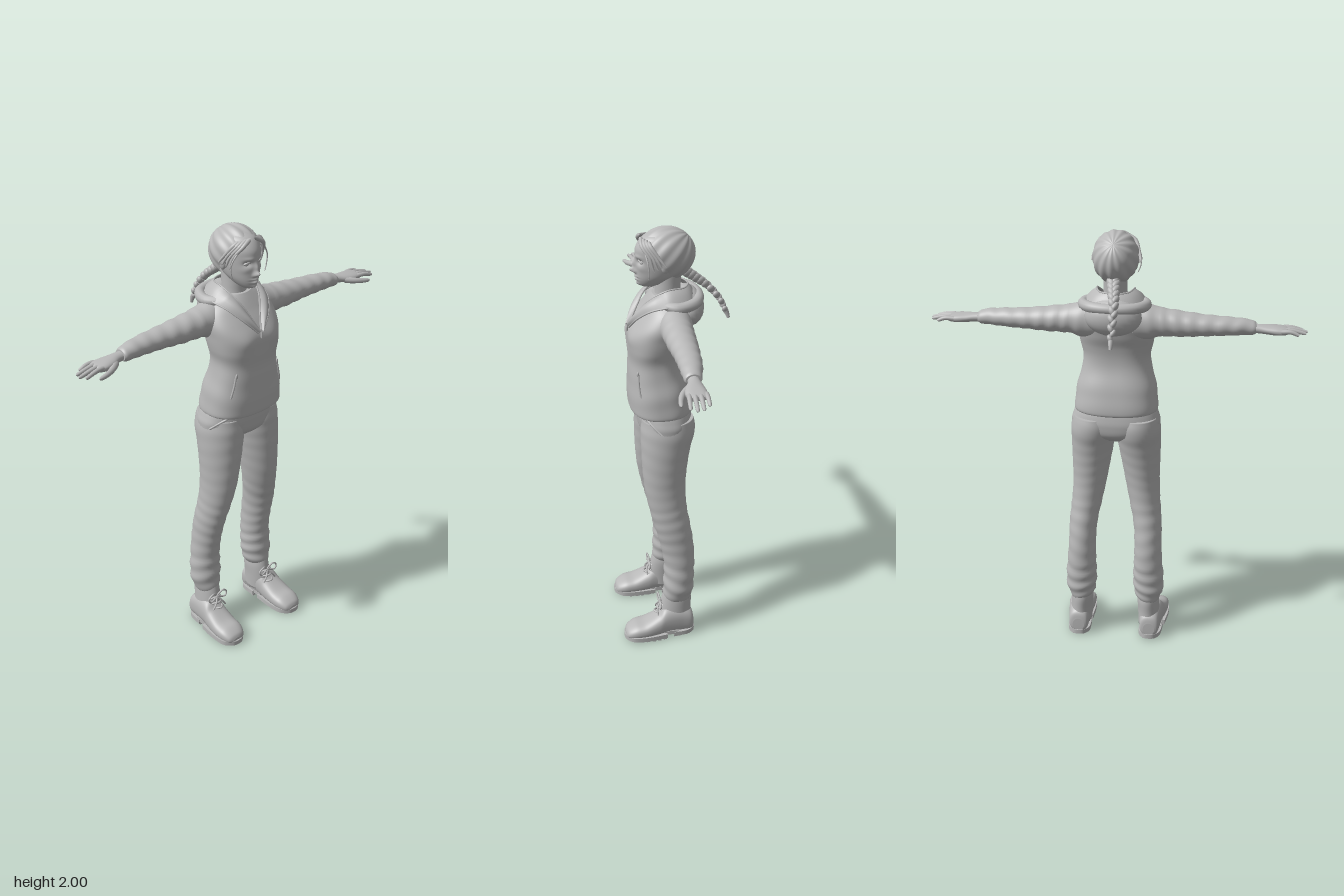
import * as THREE from 'three';

const grey = new THREE.MeshStandardMaterial({ color: 0xb8b8b8, side: THREE.DoubleSide });
grey.name = 'plain grey';

const V = (x, y, z) => new THREE.Vector3(x, y, z);

// Grid of points -> smooth indexed geometry; closed rings get end caps.
function skin(rings, closed, flip) {
  const n = rings[0].length, m = rings.length, pos = [], idx = [];
  const tri = (a, b, c) => (flip ? idx.push(a, c, b) : idx.push(a, b, c));
  rings.forEach(r => r.forEach(p => pos.push(p.x, p.y, p.z)));
  for (let j = 0; j < m - 1; j++) {
    for (let i = 0; i < (closed ? n : n - 1); i++) {
      const k = (i + 1) % n, a = j * n + i, b = j * n + k;
      tri(a, b, a + n); tri(b, b + n, a + n);
    }
  }
  if (closed) [0, m - 1].forEach(j => {
    const c = rings[j].reduce((s, p) => s.add(p), V(0, 0, 0)).divideScalar(n), id = pos.length / 3;
    pos.push(c.x, c.y, c.z);
    for (let i = 0; i < n; i++) {
      const a = j * n + i, b = j * n + (i + 1) % n;
      if (j) tri(a, b, id); else tri(b, a, id);
    }
  });
  const g = new THREE.BufferGeometry();
  g.setAttribute('position', new THREE.Float32BufferAttribute(pos, 3));
  g.setIndex(idx);
  g.computeVertexNormals();
  return g;
}

// Rows [t, aMin, aMax, bMin, bMax, power] blended smoothly along one axis.
const place = { x: (t, a, b) => V(t, a, b), y: (t, a, b) => V(a, t, b), z: (t, a, b) => V(a, b, t) };
function loft(axis, rows, { n = 40, sub = 8, fold = () => 0 } = {}) {
  const rings = [], last = rows.length - 1;
  for (let j = 0; j <= last * sub; j++) {
    const k = Math.min(Math.floor(j / sub), last - 1), f = j / sub - k;
    const at = q => rows[Math.max(0, Math.min(last, q))];
    const r = [0, 1, 2, 3, 4, 5].map(c => {
      const [p0, p1, p2, p3] = [-1, 0, 1, 2].map(d => at(k + d)[c] ?? 2);
      return p1 + 0.5 * f * (p2 - p0 + f * (2 * p0 - 5 * p1 + 4 * p2 - p3 + f * (3 * (p1 - p2) + p3 - p0)));
    });
    const ring = [];
    for (let i = 0; i < n; i++) {
      const w = i / n * Math.PI * 2, s = 1 + fold(r[0], w);
      const e = v => Math.sign(v) * Math.abs(v) ** (2 / r[5]) * s / 2;
      ring.push(place[axis](r[0], (r[1] + r[2]) / 2 + (r[2] - r[1]) * e(Math.cos(w)),
        (r[3] + r[4]) / 2 + (r[4] - r[3]) * e(Math.sin(w))));
    }
    rings.push(ring);
  }
  return skin(rings, true, axis === 'y');
}

// Push front-facing vertices along z by soft bumps [x, y, widthX, widthY, depth].
function sculpt(g, zMin, bumps) {
  const p = g.attributes.position;
  for (let i = 0; i < p.count; i++) {
    if (p.getZ(i) < zMin) continue;
    let z = p.getZ(i);
    for (const [x, y, sx, sy, d] of bumps)
      z += d * Math.exp(-(((Math.abs(p.getX(i)) - x) / sx) ** 2) - ((p.getY(i) - y) / sy) ** 2);
    p.setZ(i, z);
  }
  g.computeVertexNormals();
  return g;
}

// Tube through points, tapering from r0 to r1 with rounded ends.
function strand(pts, r0, r1 = r0, seg = 20, sides = 10) {
  const curve = new THREE.CatmullRomCurve3(pts.map(p => V(...p)));
  const g = new THREE.TubeGeometry(curve, seg, 1, sides), p = g.attributes.position, v = V(0, 0, 0);
  for (let j = 0; j <= seg; j++) {
    const u = j / seg, c = curve.getPointAt(u);
    const r = (r0 + (r1 - r0) * u) * Math.sqrt(Math.max(0, 1 - Math.abs(2 * u - 1) ** 12));
    for (let i = 0; i <= sides; i++) {
      const k = j * (sides + 1) + i;
      v.fromBufferAttribute(p, k).sub(c).multiplyScalar(r).add(c);
      p.setXYZ(k, v.x, v.y, v.z);
    }
  }
  return g;
}

const ball = (x, y, z, a, b, c) => new THREE.SphereGeometry(1, 24, 16).scale(a, b, c).translate(x, y, z);
const mirrorPts = half => [...half, ...half.slice(0, -1).reverse().map(([x, y, z]) => [-x, y, z])];

function mirrored(geo) {
  const g = geo.clone().scale(-1, 1, 1);
  const src = g.index ? Array.from(g.index.array) : Array.from({ length: g.attributes.position.count }, (_, i) => i);
  for (let i = 0; i < src.length; i += 3) [src[i + 1], src[i + 2]] = [src[i + 2], src[i + 1]];
  g.setIndex(src);
  return g;
}

export function createModel() {
  const model = new THREE.Group();
  model.name = 'figure';
  const add = (name, g) => { const m = new THREE.Mesh(g, grey); m.name = name; model.add(m); };
  const pair = (name, g) => { add(name + 'Left', g); add(name + 'Right', mirrored(g)); };

  // Jacket body
  add('jacket', sculpt(loft('y', [
    [1.172, -.183, .183, -.078, .188, 2.4], [1.19, -.19, .19, -.085, .197, 2.5], [1.28, -.18, .18, -.07, .198, 2.5],
    [1.40, -.152, .152, -.036, .193, 2.5], [1.48, -.162, .162, -.042, .195, 2.5], [1.54, -.172, .172, -.06, .192, 2.4],
    [1.60, -.175, .175, -.075, .163, 2.3], [1.65, -.16, .16, -.08, .127, 2.2], [1.69, -.115, .115, -.075, .10],
    [1.71, -.08, .08, -.06, .085],
  ], { n: 64, fold: (y, a) => .006 * Math.sin(y * 60 + 2 * Math.sin(a)) }), .05, [[.075, 1.525, .05, .05, .009]]));

  // Sleeves with creases
  pair('sleeve', loft('x', [
    [.08, 1.525, 1.686, -.065, .075], [.15, 1.525, 1.681, -.066, .08], [.2, 1.54, 1.668, -.06, .075],
    [.3, 1.543, 1.654, -.055, .07], [.4, 1.55, 1.643, -.048, .062], [.5, 1.555, 1.636, -.038, .06],
    [.56, 1.558, 1.63, -.026, .06], [.60, 1.56, 1.622, -.017, .058], [.615, 1.566, 1.612, -.01, .052],
  ], { fold: (x, a) => (x > .2 ? .03 : .008) * Math.sin(x * 95 + 1.6 * Math.sin(a + x * 8)) }));

  // Hands
  pair('palm', loft('x', [
    [.58, 1.568, 1.608, -.002, .045], [.63, 1.566, 1.606, -.004, .048], [.67, 1.562, 1.604, -.01, .066],
    [.71, 1.561, 1.6, -.014, .074, 2.4], [.745, 1.566, 1.594, -.012, .07, 2.6], [.755, 1.572, 1.588, -.005, .064],
  ]));
  const tips = [[.822, .072], [.84, .048], [.834, .022], [.802, -.006]];
  tips.forEach(([x, z], i) => {
    const z0 = .06 - i * .022;
    pair('finger' + (i + 1), strand([[.72, 1.583, z0], [.765, 1.584, (z0 + z) / 2], [x, 1.57, z]], .0115, .0075));
  });
  pair('thumb', strand([[.655, 1.58, .045], [.70, 1.574, .08], [.74, 1.568, .095], [.778, 1.563, .1]], .017, .008));

  // Trousers
  add('trouserSeat', loft('y', [
    [1.035, -.1, .1, -.03, .11], [1.07, -.19, .19, -.074, .15], [1.12, -.203, .203, -.084, .16, 2.3],
    [1.16, -.193, .193, -.08, .162, 2.4], [1.20, -.178, .178, -.07, .16, 2.4],
  ], { n: 56 }));
  pair('trouserLeg', loft('y', [
    [.2, .112, .213, -.06, .062], [.24, .097, .23, -.073, .068], [.3, .09, .235, -.077, .066], [.4, .092, .228, -.08, .064],
    [.5, .093, .222, -.076, .08], [.6, .086, .219, -.062, .104], [.7, .066, .21, -.046, .128], [.8, .046, .204, -.042, .146],
    [.9, .028, .205, -.05, .154], [1.0, .01, .207, -.066, .157], [1.09, -.004, .206, -.088, .157], [1.15, .002, .194, -.08, .15],
  ], { fold: (y, a) => (y < .4 ? .04 : y < .72 ? .016 : .005) * Math.sin(y * 95 + 1.8 * Math.sin(a + y * 9)) }));
  pair('trouserPocket', strand([[.135, 1.17, .139], [.17, 1.145, .112], [.2, 1.11, .075]], .005));

  // Boots
  pair('bootShaft', loft('y', [
    [.06, .115, .222, -.068, .09], [.13, .113, .217, -.064, .088], [.19, .11, .213, -.066, .078], [.23, .115, .208, -.06, .068],
  ]));
  pair('bootFoot', loft('z', [
    [-.074, .145, .2, .025, .09], [-.062, .128, .218, .015, .125, 2.5], [-.01, .122, .226, .012, .15, 2.5],
    [.06, .12, .236, .012, .155, 2.4], [.1, .119, .243, .012, .122, 2.5], [.16, .119, .248, .012, .09, 2.6],
    [.21, .122, .246, .012, .079, 2.5], [.245, .138, .232, .012, .06, 2.3], [.257, .16, .21, .018, .042],
  ]));
  const sole = pts => {
    const s = new THREE.Shape();
    s.moveTo(...pts[0]); s.splineThru(pts.slice(1).map(p => new THREE.Vector2(...p))); s.closePath();
    return new THREE.ExtrudeGeometry(s, { depth: .022, bevelEnabled: false, curveSegments: 24 })
      .rotateX(Math.PI / 2).translate(0, .03, 0);
  };
  pair('frontSole', sole([[.12, .06], [.116, .15], [.124, .22], [.155, .256], [.185, .263], [.215, .256], [.246, .22], [.251, .15], [.24, .06]]));
  pair('heelSole', sole([[.12, .025], [.122, -.04], [.145, -.072], [.172, -.079], [.2, -.072], [.224, -.04], [.232, .025]]));
  [-.055, -.03, -.005, .018, .072, .1, .128, .156, .184, .212, .238].forEach((z, i) => {
    const w = [.06, .085, .095, .1, .108, .118, .122, .122, .118, .1, .06][i];
    pair('soleTread' + i, new THREE.BoxGeometry(w, .012, .016).translate(z < .05 ? .174 : .184, .006, z));
  });
  pair('arch', new THREE.BoxGeometry(.1, .02, .07).translate(.178, .028, .04));
  // Laces tied in a bow
  [.12, .145, .17].forEach((y, i) => pair('lace' + i,
    strand([[.135, y, .085 - i * .006], [.165, y + .008, .114 - i * .014], [.198, y, .085 - i * .006]], .0045)));
  [-1, 1].forEach(s => {
    pair('bowLoop' + s, strand([[.165, .18, .08], [.165 + s * .03, .205, .09], [.165 + s * .055, .185, .088],
      [.165 + s * .045, .165, .09], [.165, .178, .085]], .004));
    pair('bowEnd' + s, strand([[.165, .18, .085], [.165 + s * .02, .15, .1], [.165 + s * .04, .12, .1]], .004));
  });

  // Collar folded open into a V
  const rim = pts => new THREE.CatmullRomCurve3(mirrorPts(pts).map(p => V(...p)));
  const inner = rim([[.004, 1.57, .185], [.032, 1.64, .147], [.062, 1.70, .105], [.083, 1.745, .03], [.06, 1.745, -.045], [0, 1.745, -.07]]);
  const outer = rim([[.012, 1.56, .19], [.075, 1.625, .157], [.118, 1.672, .1], [.138, 1.692, .02], [.1, 1.69, -.075], [0, 1.685, -.11]]);
  const flap = [];
  for (let j = 0; j <= 8; j++) {
    const row = [];
    for (let i = 0; i <= 64; i++) {
      const p = inner.getPoint(i / 64).lerp(outer.getPoint(i / 64), j / 8), b = .014 * Math.sin(j / 8 * Math.PI);
      row.push(V(p.x, p.y + b * .5, p.z + (p.z > .06 ? b : 0)));
    }
    flap.push(row);
  }
  add('collar', skin(flap, false, false));
  add('collarEdge', new THREE.TubeGeometry(outer, 80, .004, 6));
  add('collarFold', new THREE.TubeGeometry(inner, 80, .004, 6));

  // Hood resting on the back
  add('hood', ball(0, 1.642, -.068, .125, .085, .072));
  add('hoodRim', strand(mirrorPts([[.1, 1.69, .06], [.138, 1.685, -.01], [.105, 1.69, -.085], [0, 1.69, -.115]]), .024, .024, 48, 12));

  // Zips
  add('zipPull', strand([[0, 1.575, .188], [0, 1.555, .196], [0, 1.535, .197]], .005));
  pair('pocketZip', strand([[.118, 1.385, .166], [.131, 1.33, .166], [.145, 1.275, .16]], .0045));
  pair('pocketZipPull', ball(.118, 1.38, .169, .006, .012, .005));

  // Neck and head
  add('neck', loft('y', [[1.64, -.075, .075, -.05, .09], [1.70, -.056, .056, -.04, .075], [1.75, -.052, .052, -.04, .072], [1.81, -.052, .052, -.045, .07]]));
  add('face', sculpt(loft('y', [
    [1.745, -.022, .022, .07, .128], [1.755, -.036, .036, .04, .143], [1.775, -.052, .052, 0, .151], [1.80, -.065, .065, -.04, .154],
    [1.84, -.074, .074, -.07, .156], [1.88, -.078, .078, -.08, .157], [1.92, -.079, .079, -.08, .153],
    [1.96, -.066, .066, -.06, .125], [1.982, -.035, .035, -.02, .08],
  ], { n: 112 }), .06, [
    [0, 1.818, .01, .011, .024], [0, 1.843, .009, .02, .013], [.011, 1.812, .006, .007, .008],
    [.032, 1.862, .015, .011, -.013], [.03, 1.884, .02, .007, .004], [.045, 1.835, .015, .014, .004],
    [0, 1.792, .018, .005, .008], [0, 1.785, .02, .002, -.005], [0, 1.777, .015, .005, .007], [0, 1.757, .016, .009, .007],
  ]));
  pair('eye', ball(.032, 1.861, .131, .014, .009, .011));
  pair('upperLid', strand([[.016, 1.86, .142], [.031, 1.87, .145], [.048, 1.861, .134]], .003));
  pair('ear', ball(.083, 1.853, .04, .012, .029, .018));

  // Hair swept back, with ridges running to the back of the head
  const hair = new THREE.SphereGeometry(1, 112, 40, 0, Math.PI * 2, 0, 1.95), hp = hair.attributes.position;
  for (let i = 0; i < hp.count; i++) {
    const x = hp.getX(i), y = hp.getY(i), z = hp.getZ(i), a = Math.atan2(x, z);
    const k = 1 + .022 * Math.hypot(x, z) * Math.cos(13 * a + Math.PI + 2 * y);
    hp.setXYZ(i, x * k, y * k, z * k);
  }
  hair.rotateX(-.84).scale(.1, .114, .124).translate(0, 1.884, .022);
  hair.computeVertexNormals();
  add('hair', hair);
  [0, 1, 2, 3].forEach(i => pair('sideLock' + i, strand([[.012 + i * .012, 1.967 - i * .004, .132 - i * .008],
    [.055 + i * .007, 1.94, .135 - i * .012], [.085 + i * .005, 1.89, .105 - i * .014],
    [.088 + i * .007, 1.835 + i * .008, .088 - i * .016]], .011, .004)));
  pair('looseWisp', strand([[.07, 1.92, .125], [.1, 1.87, .115], [.098, 1.82, .112], [.085, 1.79, .115]], .004, .002));

  // Braid of overlapping locks
  const path = new THREE.CatmullRomCurve3([V(0, 1.80, -.06), V(-.006, 1.765, -.105), V(-.012, 1.725, -.155), V(-.014, 1.655, -.215), V(-.013, 1.565, -.255)]);
  for (let i = 0; i < 18; i++) {
    const u = i / 19, p = path.getPoint(u), t = path.getTangent(u), r = .023 - .011 * u, s = i % 2 ? 1 : -1;
    const lock = new THREE.SphereGeometry(1, 16, 12).scale(r * .8, r * 1.35, r).rotateZ(s * .5)
      .rotateX(Math.atan2(t.z, t.y)).translate(p.x + s * r * .4, p.y, p.z);
    add('braidLock' + i, lock);
  }
  add('braidTip', strand([[-.013, 1.6, -.242], [-.013, 1.582, -.25], [-.012, 1.558, -.258]], .013, .007));
  return model;
}
